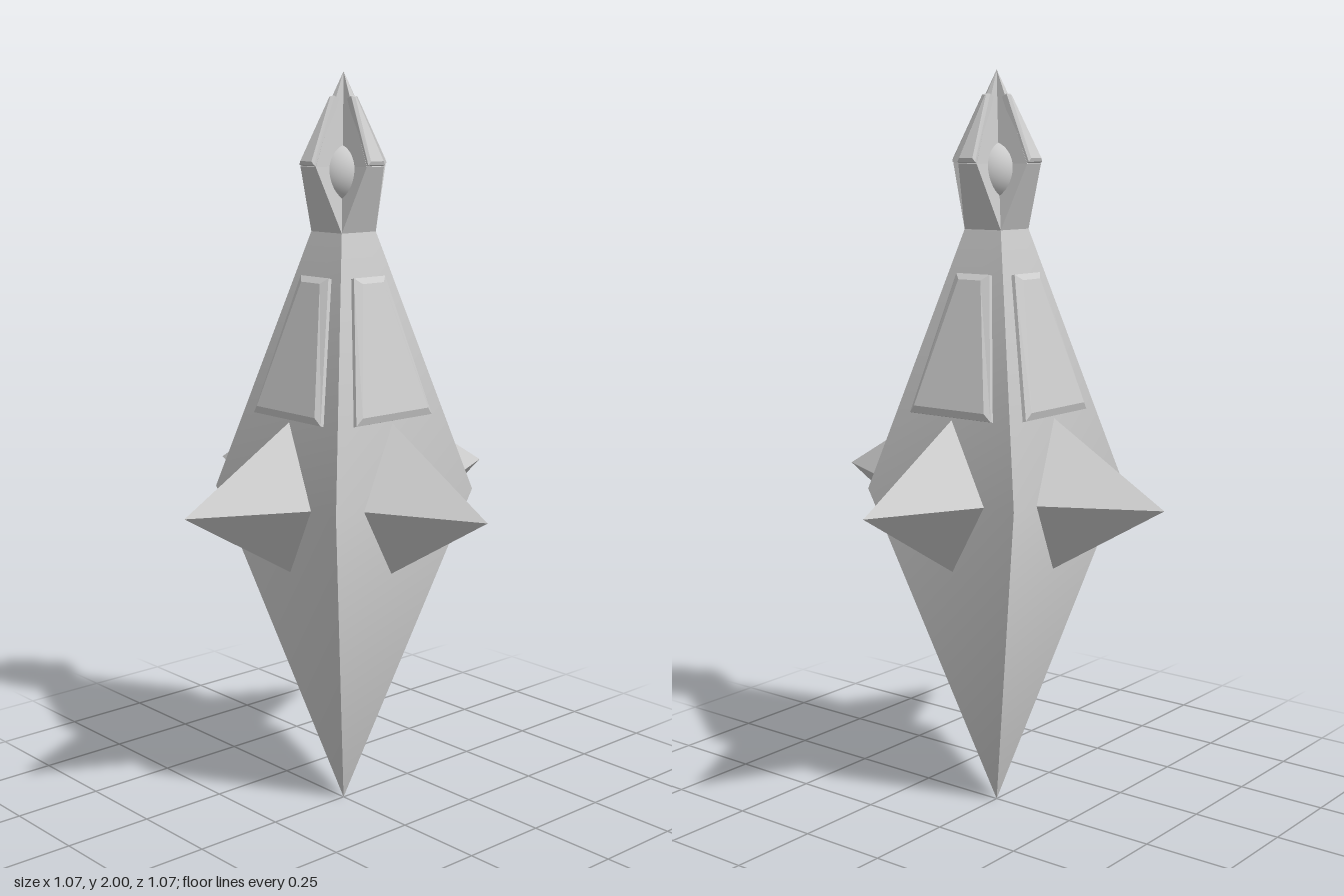
import * as THREE from 'three';
import { toCreasedNormals } from 'three/addons/utils/BufferGeometryUtils.js';

const material = new THREE.MeshStandardMaterial({ color: 0xcccccc });

// Skins a stack of equal-length rings (counter-clockwise seen from the last one) and caps both ends.
function loft(name, rings, crease = 0.05) {
  const n = rings[0].length;
  const index = [];
  for (let j = 0; j < rings.length - 1; j++) {
    for (let i = 0; i < n; i++) {
      const a = j * n + i, b = j * n + (i + 1) % n;
      index.push(a, b, b + n, a, b + n, a + n);
    }
  }
  const last = (rings.length - 1) * n;
  for (let i = 1; i < n - 1; i++) {
    index.push(0, i + 1, i, last, last + i, last + i + 1);
  }
  const geometry = new THREE.BufferGeometry();
  geometry.setAttribute('position', new THREE.Float32BufferAttribute(rings.flat(2), 3));
  geometry.setIndex(index);
  const mesh = new THREE.Mesh(toCreasedNormals(geometry, crease), material);
  mesh.name = name;
  return mesh;
}

// Raised bevelled trapezoid on a slope facing +z; low and high are [y, z, halfWidth].
function panel(name, low, high, height, bevel) {
  const slope = new THREE.Vector2(high[0] - low[0], high[1] - low[1]).normalize();
  const ring = (inset, lift) => {
    const corner = ([y, z, w], side, along) => [
      side * Math.max(w - inset, 0.002),
      y + slope.x * along - slope.y * lift,
      z + slope.y * along + slope.x * lift,
    ];
    return [corner(low, -1, inset), corner(low, 1, inset), corner(high, 1, -inset), corner(high, -1, -inset)];
  };
  return loft(name, [ring(0, -0.01), ring(0, height * 0.5), ring(bevel, height)]);
}

export function createModel() {
  const model = new THREE.Group();

  // Square body: pointed below, widest at the spikes, narrowing to the neck
  const square = (y, h) => [[-h, y, h], [h, y, h], [h, y, -h], [-h, y, -h]];
  model.add(loft('body', [square(0, 0), square(0.9, 0.246), square(1.59, 0.06)], 0.7));

  // Ball held in the head
  const ball = new THREE.Mesh(new THREE.SphereGeometry(0.085, 32, 24), material);
  ball.name = 'ball';
  ball.position.y = 1.735;
  model.add(ball);

  // One side of each kind, repeated around the axis
  const fin = (y, r, w) => [[-w, y, 0], [-w, y, r], [w, y, r], [w, y, 0]];
  const rhombus = (z, w, h) => [[-w, 0.9, z], [0, 0.9 - h, z], [w, 0.9, z], [0, 0.9 + h, z]];
  for (let i = 0; i < 4; i++) {
    const side = new THREE.Group();
    side.name = ['front', 'left', 'back', 'right'][i] + 'Side';
    side.rotation.y = i * Math.PI / 2;
    side.add(
      loft('spike', [rhombus(0.1, 0.226, 0.257), rhombus(0.535, 0, 0)]),
      panel('bodyPanel', [1.11, 0.19, 0.135], [1.475, 0.092, 0.055], 0.02, 0.018),
      loft('headFin', [fin(1.59, 0.06, 0.06), fin(1.76, 0.122, 0.03), fin(2, 0, 0)]),
      panel('finPanel', [1.762, 0.121, 0.029], [1.935, 0.033, 0.009], 0.013, 0.007),
    );
    model.add(side);
  }
  return model;
}
